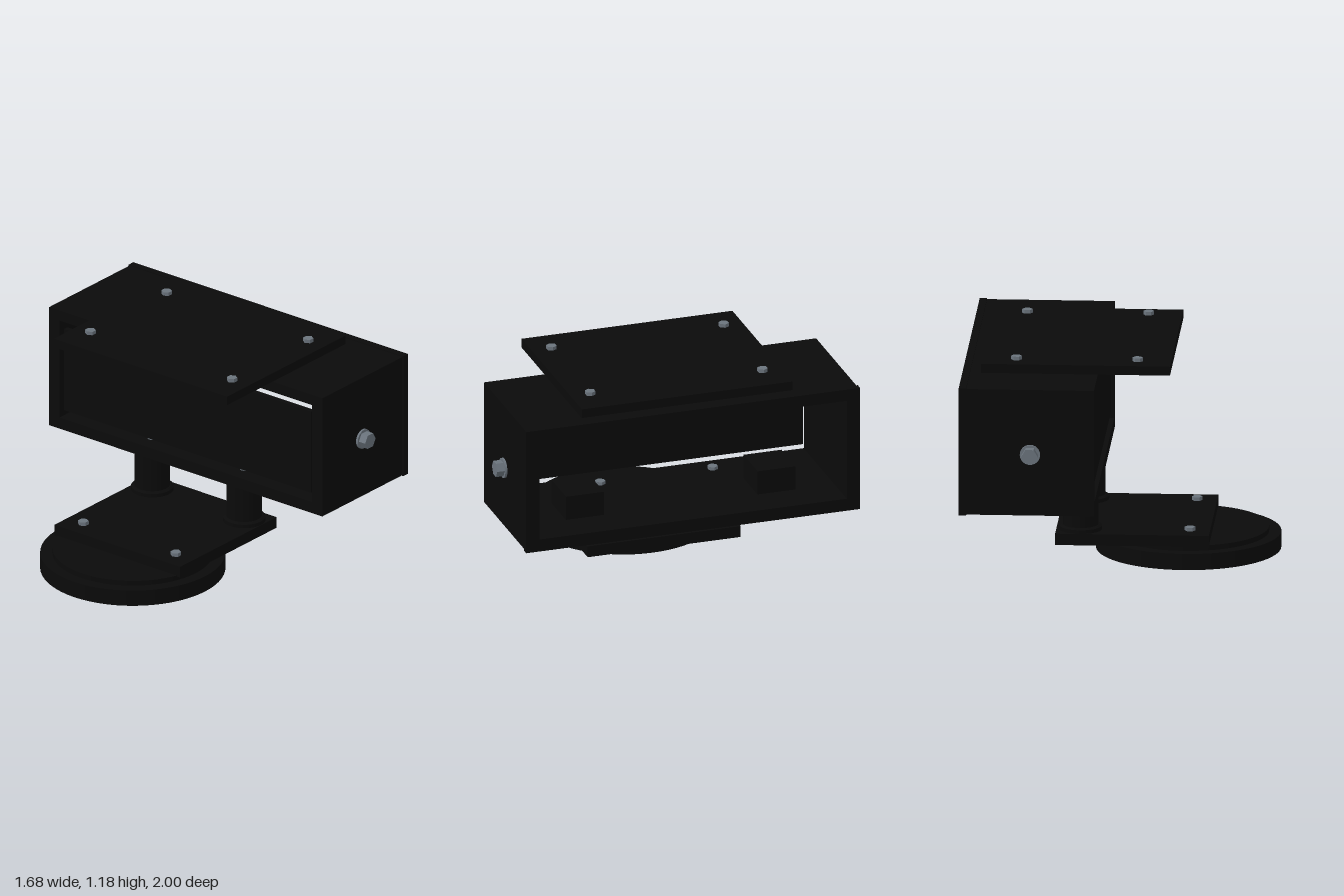
import * as THREE from 'three';

const black = new THREE.MeshStandardMaterial({ color: 0x0a0a0a });
black.name = 'black';
const steel = new THREE.MeshStandardMaterial({ color: 0x6b747d });
steel.name = 'steel grey';

export function createModel() {
  const model = new THREE.Group();
  model.name = 'mountedBox';

  const add = (name, geometry, material, x, y, z) => {
    const mesh = new THREE.Mesh(geometry, material);
    mesh.name = name;
    mesh.position.set(x, y, z);
    model.add(mesh);
    return mesh;
  };
  // Box given by its limits on each axis
  const box = (name, x0, x1, y0, y1, z0, z1) =>
    add(name, new THREE.BoxGeometry(x1 - x0, y1 - y0, z1 - z0), black,
      (x0 + x1) / 2, (y0 + y1) / 2, (z0 + z1) / 2);
  // Upright cylinder from y0 to y1
  const disc = (name, r, x, z, y0, y1, rTop = r) =>
    add(name, new THREE.CylinderGeometry(rTop, r, y1 - y0, 64), black, x, (y0 + y1) / 2, z);
  // Hexagonal head with points along x
  const hex = (r, h) => new THREE.CylinderGeometry(r, r, h, 6, 1, false, Math.PI / 6).toNonIndexed();
  const screw = (name, x, y, z, h = 0.02) => {
    const geometry = hex(0.029, h);
    geometry.computeVertexNormals();
    add(name, geometry, steel, x, y + h / 2, z);
  };
  // Rectangular ring, seen along x
  const ring = (name, x0, x1, y0, y1, halfZ) => {
    const shape = new THREE.Shape([[-halfZ, y0], [halfZ, y0], [halfZ, y1], [-halfZ, y1]]
      .map(p => new THREE.Vector2(...p)));
    shape.holes.push(new THREE.Path([[-0.875, 0.475], [-0.875, 1.05], [0.875, 1.05], [0.875, 0.475]]
      .map(p => new THREE.Vector2(...p))));
    const geometry = new THREE.ExtrudeGeometry(shape, { depth: x1 - x0, bevelEnabled: false });
    add(name, geometry, black, x0, 0, 0).rotation.y = Math.PI / 2;
  };

  // Round base and the plate on it
  disc('baseDisc', 0.5, -0.345, 0, 0, 0.09);
  disc('upperDisc', 0.435, -0.345, 0, 0.09, 0.118);
  box('basePlate', -0.48, 0.35, 0.112, 0.175, -0.435, 0.435);

  // Open housing with a slightly larger rim
  ring('housing', 0.11, 0.8, 0.41, 1.11, 0.945);
  ring('housingRim', 0.8, 0.84, 0.405, 1.115, 0.95);
  box('rearPanel', 0.125, 0.155, 0.52, 1.0, -0.855, 0.855);

  // Overhanging top plate
  box('topPlate', -0.28, 0.74, 1.11, 1.16, -0.6, 0.6);

  for (const s of [-1, 1]) {
    // Columns with flared collars
    disc('columnCollar', 0.115, 0.218, s * 0.318, 0.175, 0.195);
    disc('collarChamfer', 0.115, 0.218, s * 0.318, 0.195, 0.203, 0.1);
    disc('column', 0.096, 0.218, s * 0.318, 0.2, 0.412);

    // Blocks on the housing floor
    box('floorBlock', 0.39, 0.63, 0.474, 0.61, s * 0.545 - 0.108, s * 0.545 + 0.108);

    screw('topScrew', -0.1, 1.16, s * 0.49);
    screw('topScrew', 0.555, 1.16, s * 0.49);
    screw('plateScrew', -0.372, 0.175, s * 0.32);
    screw('floorScrew', 0.218, 0.475, s * 0.32, 0.018);

    // End bolts: washer and hexagonal head
    const washer = new THREE.CylinderGeometry(0.055, 0.055, 0.012, 24);
    add('boltWasher', washer, steel, 0.455, 0.75, s * 0.951).rotation.x = Math.PI / 2;
    const head = hex(0.045, 0.045);
    head.computeVertexNormals();
    add('boltHead', head, steel, 0.455, 0.75, s * 0.9775).rotation.x = Math.PI / 2;
  }
  return model;
}
